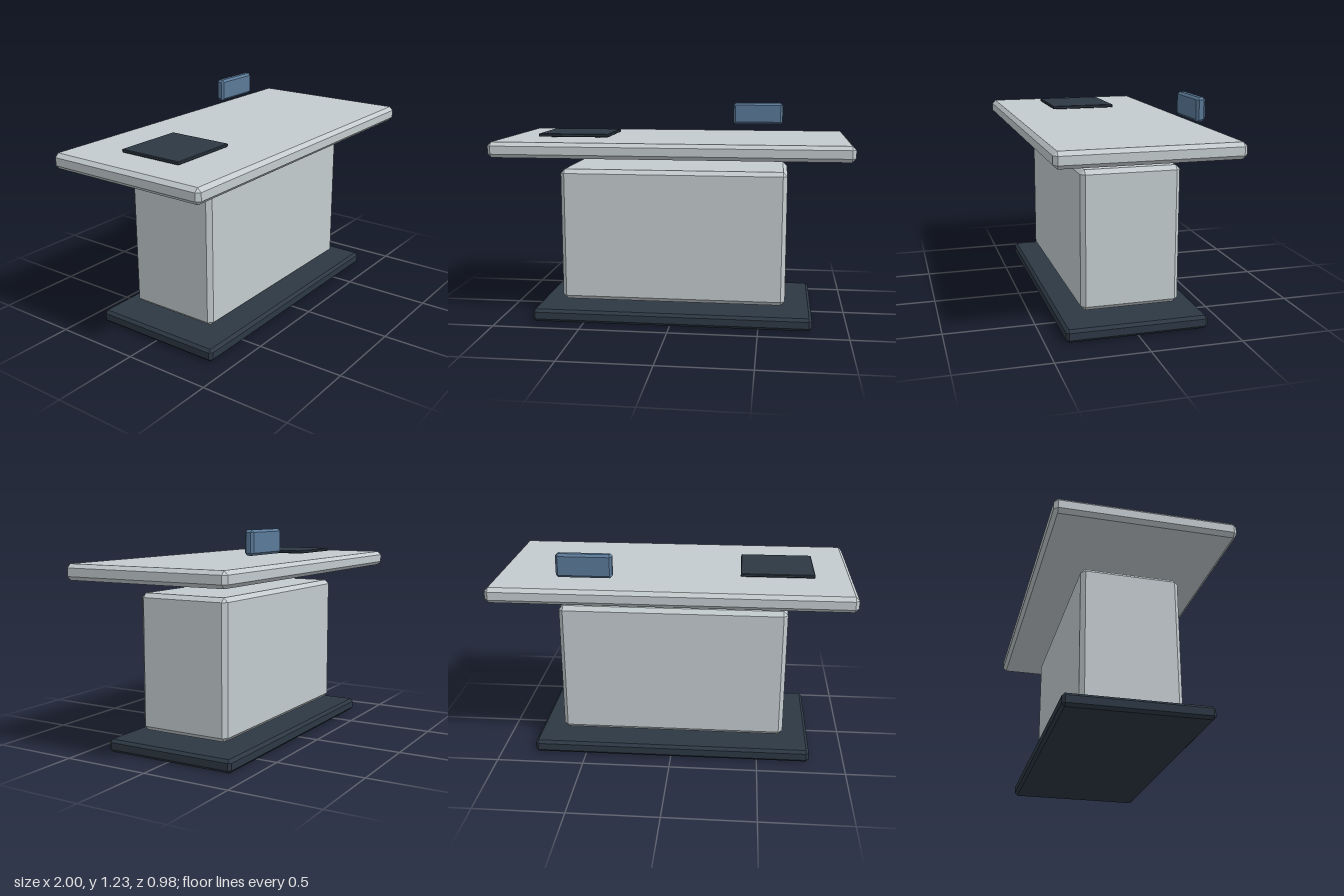
import * as THREE from 'three';
import { ConvexGeometry } from 'three/addons/geometries/ConvexGeometry.js';

// Box with flat chamfers on every edge, given its size and chamfer width
function chamferedBox(w, h, d, c) {
  const points = [];
  for (const sx of [-1, 1]) for (const sy of [-1, 1]) for (const sz of [-1, 1]) {
    const [x, y, z] = [w / 2, h / 2, d / 2];
    points.push(
      new THREE.Vector3(sx * x, sy * (y - c), sz * (z - c)),
      new THREE.Vector3(sx * (x - c), sy * y, sz * (z - c)),
      new THREE.Vector3(sx * (x - c), sy * (y - c), sz * z),
    );
  }
  return new ConvexGeometry(points);
}

export function createModel() {
  const group = new THREE.Group();
  const material = (color) => new THREE.MeshStandardMaterial({ color, flatShading: true });
  const pale = material(0xc4cccf);
  const dark = material(0x2d3844);
  const blue = material(0x5b7a99);

  const add = (name, mat, [w, h, d], [x, y, z], chamfer) => {
    const mesh = new THREE.Mesh(chamferedBox(w, h, d, chamfer), mat);
    mesh.name = name;
    mesh.position.set(x, y, z);
    group.add(mesh);
  };

  // Plinth, pedestal and overhanging top, each separated by a small gap
  add('basePlinth', dark, [1.6, 0.072, 0.784], [0, 0.036, 0], 0.016);
  add('pedestal', pale, [1.296, 0.77, 0.548], [0, 0.49, 0], 0.024);
  add('counterTop', pale, [2, 0.087, 0.982], [0, 1.004, 0], 0.021);

  // Items on the counter
  add('counterPad', dark, [0.412, 0.018, 0.387], [-0.583, 1.062, 0], 0.004);
  add('displayPanel', blue, [0.307, 0.131, 0.051], [0.463, 1.16, -0.391], 0.013);

  return group;
}
